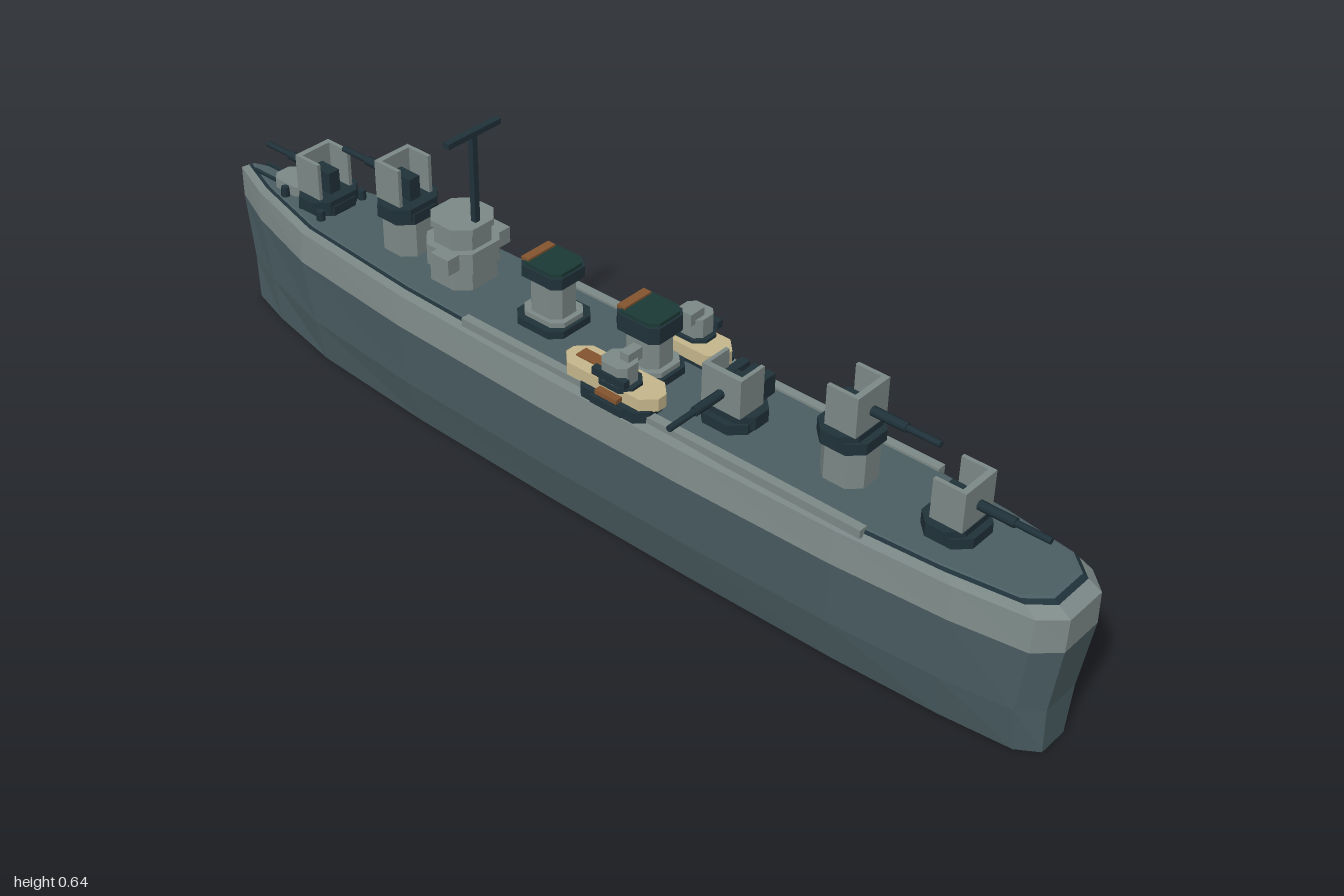
import * as THREE from 'three';

const mat = (name, color) => {
  const m = new THREE.MeshStandardMaterial({ color });
  m.name = name;
  return m;
};

export function createModel() {
  const light = mat('light grey', 0x7d8a88);
  const slate = mat('slate', 0x4c5f64);
  const dark = mat('dark navy', 0x20323a);
  const cream = mat('cream', 0xc6b78c);
  const brown = mat('brown', 0x85552f);
  const green = mat('dark green', 0x1c3a36);

  const root = new THREE.Group();
  root.name = 'warship';
  root.position.x = 0.02;

  const add = (parent, name, geo, m, x = 0, y = 0, z = 0) => {
    const mesh = new THREE.Mesh(geo, m);
    mesh.name = name;
    mesh.position.set(x, y, z);
    parent.add(mesh);
    return mesh;
  };
  // Box given by its bottom and top heights
  const box = (parent, name, m, w, d, y0, y1, x = 0, z = 0) =>
    add(parent, name, new THREE.BoxGeometry(w, y1 - y0, d), m, x, (y0 + y1) / 2, z);
  // Upright block with chamfered corners
  const block = (parent, name, m, w, d, y0, y1, c, x = 0, z = 0) => {
    const a = w / 2, b = d / 2;
    const pts = [[a, c - b], [a, b - c], [a - c, b], [c - a, b], [-a, b - c], [-a, c - b], [c - a, -b], [a - c, -b]];
    const shape = new THREE.Shape(pts.map(p => new THREE.Vector2(...p)));
    const geo = new THREE.ExtrudeGeometry(shape, { depth: y1 - y0, bevelEnabled: false });
    geo.rotateX(-Math.PI / 2);
    return add(parent, name, geo, m, x, y0, z);
  };
  const group = (name, x, y, z, ry = 0) => {
    const g = new THREE.Group();
    g.name = name;
    g.position.set(x, y, z);
    g.rotation.y = ry;
    root.add(g);
    return g;
  };

  // Hull plan: half-width at each station, bow at -z
  const stations = [[0.003, -1], [0.045, -0.9], [0.095, -0.72], [0.121, -0.42], [0.131, -0.05],
    [0.131, 0.28], [0.124, 0.6], [0.108, 0.82], [0.086, 0.96], [0.047, 1]];
  const outline = [...stations, ...stations.map(([x, z]) => [-x, z]).reverse()];
  const ring = (y, sx, sz) => outline.map(([x, z]) => new THREE.Vector3(x * sx, y, z * sz));
  // Flat-faced skin through rings from bottom to top
  const loft = (name, m, rings, capBottom, capTop) => {
    const v = [];
    const tri = (...ps) => ps.forEach(p => v.push(p.x, p.y, p.z));
    const n = outline.length;
    for (let i = 0; i < n; i++) {
      const j = (i + 1) % n;
      for (let k = 0; k + 1 < rings.length; k++) {
        const lo = rings[k], hi = rings[k + 1];
        tri(lo[i], hi[j], lo[j]);
        tri(lo[i], hi[i], hi[j]);
      }
      const first = rings[0], last = rings[rings.length - 1];
      if (capBottom) tri(new THREE.Vector3(0, first[0].y, 0), first[i], first[j]);
      if (capTop) tri(new THREE.Vector3(0, last[0].y, 0), last[j], last[i]);
    }
    const geo = new THREE.BufferGeometry();
    geo.setAttribute('position', new THREE.Float32BufferAttribute(v, 3));
    geo.computeVertexNormals();
    add(root, name, geo, m);
  };
  const waist = ring(0.24, 1, 1), rim = ring(0.32, 0.89, 0.975), edge = ring(0.326, 0.865, 0.965);
  loft('lowerHull', slate, [ring(0, 0.67, 0.98), ring(0.1, 0.88, 0.982), waist], true, false);
  loft('upperHull', light, [waist, ring(0.305, 0.945, 1), rim], false, false);
  loft('deckEdge', dark, [rim, edge], false, false);
  loft('deck', slate, [edge, ring(0.327, 0.84, 0.955)], false, true);
  for (const s of [-1, 1]) box(root, 'sideRail', light, 0.018, 0.9, 0.315, 0.332, s * 0.108, 0.2);

  // Gun mount with open-backed shield, firing along its own +z
  const gunMount = (name, x, z, ry, lift) => {
    const g = group(name, x, 0.325 + lift, z, ry);
    if (lift) block(g, 'pedestal', light, 0.085, 0.09, -lift, 0.005, 0.022);
    block(g, 'mountBase', dark, 0.105, 0.1, 0, 0.022, 0.025);
    block(g, 'mountRing', dark, 0.118, 0.085, 0.008, 0.034, 0.025, 0, -0.005);
    box(g, 'shieldFront', light, 0.085, 0.012, 0.034, 0.112, 0, 0.03);
    for (const s of [-1, 1]) box(g, 'shieldSide', light, 0.008, 0.062, 0.034, 0.112, s * 0.0385, 0.004);
    box(g, 'breech', dark, 0.026, 0.05, 0.034, 0.08, 0, 0);
    for (const [r, len] of [[0.009, 0.075], [0.006, 0.14]]) {
      const geo = new THREE.CylinderGeometry(r, r, len, 8);
      geo.rotateX(Math.PI / 2);
      add(g, 'barrel', geo, dark, 0, 0.068, 0.03 + len / 2);
    }
    return g;
  };
  gunMount('aftLowerGun', 0, 0.755, 0, 0);
  gunMount('aftUpperGun', 0, 0.54, 0, 0.077);
  gunMount('forwardUpperGun', 0, -0.51, Math.PI, 0.077);
  gunMount('forwardLowerGun', 0, -0.74, Math.PI, 0);
  const mid = gunMount('midshipsGun', -0.01, 0.3, -Math.PI / 2, 0);
  for (const s of [-1, 0, 1]) box(mid, 'ammunitionRack', dark, 0.018, 0.08, 0.034, 0.075, s * 0.028, -0.025);

  // Funnels with dark caps and a brown vent
  for (const [z, y, dw] of [[0.1, 0.415, 0], [-0.13, 0.425, 0.012]]) {
    const g = group('funnel', 0, 0, z);
    block(g, 'funnelBase', dark, 0.1 + dw, 0.115, 0.325, 0.342, 0.02);
    block(g, 'funnelFoot', light, 0.085, 0.1, 0.342, 0.352, 0.018);
    block(g, 'funnelBody', light, 0.068, 0.078, 0.352, y, 0.016);
    block(g, 'funnelCap', dark, 0.088, 0.1, y, 0.448, 0.014);
    block(g, 'funnelLip', green, 0.08, 0.092, 0.448, 0.455, 0.014);
    box(g, 'funnelVent', brown, 0.07, 0.018, 0.452, 0.459, 0, -0.036);
  }

  // Bridge tiers and mast
  const bridge = group('bridge', 0, 0, -0.36);
  block(bridge, 'bridgeBase', light, 0.115, 0.11, 0.325, 0.365, 0.025);
  block(bridge, 'bridgeTier', light, 0.13, 0.12, 0.365, 0.408, 0.03);
  box(bridge, 'bridgeWing', light, 0.162, 0.045, 0.375, 0.408, 0, 0.02);
  block(bridge, 'wheelhouse', light, 0.1, 0.1, 0.408, 0.448, 0.025);
  block(bridge, 'bridgeRoof', light, 0.11, 0.11, 0.442, 0.455, 0.028);
  box(root, 'mast', dark, 0.012, 0.012, 0.45, 0.64, 0, -0.325);
  box(root, 'mastYard', dark, 0.132, 0.014, 0.633, 0.644, 0, -0.325);

  // Side platforms with light guns
  for (const s of [-1, 1]) {
    const g = group(s > 0 ? 'leftPlatform' : 'rightPlatform', s * 0.088, 0, 0.1);
    block(g, 'platformFoot', dark, 0.075, 0.16, 0.318, 0.34, 0.02, s * 0.008, 0.02);
    block(g, 'platform', cream, 0.068, 0.215, 0.338, 0.364, 0.024);
    box(g, 'platformWell', brown, 0.026, 0.07, 0.36, 0.367, -s * 0.004, -0.05);
    box(g, 'platformStep', brown, 0.018, 0.05, 0.342, 0.351, s * 0.04, 0.02);
    block(g, 'gunSponson', dark, 0.055, 0.1, 0.32, 0.336, 0.015, s * 0.0225, 0.02);
    block(g, 'gunTub', dark, 0.062, 0.08, 0.36, 0.37, 0.018, s * 0.01, 0.02);
    block(g, 'gunHousing', light, 0.052, 0.06, 0.366, 0.408, 0.012, s * 0.012, 0.02);
    box(g, 'gunShield', light, 0.036, 0.02, 0.4, 0.424, -s * 0.006, 0.03);
    box(g, 'gunCrossbar', dark, 0.014, 0.075, 0.375, 0.39, s * 0.036, 0.02);
  }

  // Foredeck locker, bollards and chain
  block(root, 'foredeckLocker', light, 0.062, 0.085, 0.325, 0.348, 0.015, 0, -0.83);
  for (const s of [-1, 1]) {
    for (const [x, z] of [[0.054, -0.7], [0.046, -0.76], [0.04, -0.82]])
      add(root, 'bollard', new THREE.CylinderGeometry(0.008, 0.009, 0.022, 8), dark, s * x, 0.336, z);
    box(root, 'anchorChain', dark, 0.006, 0.08, 0.325, 0.332, s * 0.016, -0.9);
  }

  return root;
}
